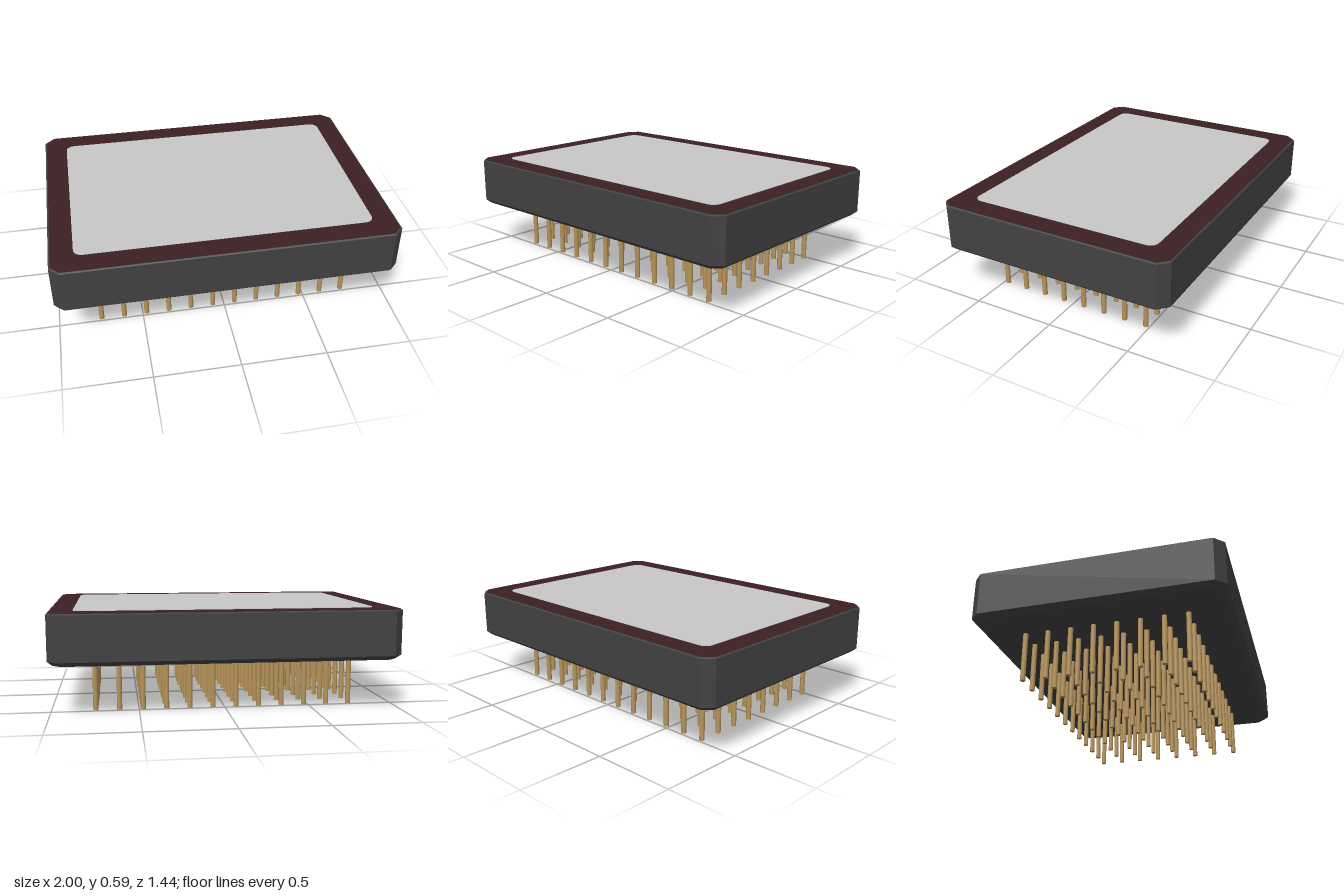
import * as THREE from 'three';

const material = (name, color, extra = {}) => {
  const m = new THREE.MeshStandardMaterial({ color, ...extra });
  m.name = name;
  return m;
};

// Corners of a rectangle with cut corners, shrunk by an inset
function cutCorners(inset) {
  const x = 1 - inset, z = 0.72 - inset, c = 0.055 - inset * 0.3;
  return [
    [x, -z + c], [x, z - c], [x - c, z], [-x + c, z],
    [-x, z - c], [-x, -z + c], [-x + c, -z], [x - c, -z],
  ];
}

// Solid skinned through [height, inset] sections, lowest first
function loft(sections) {
  const rings = sections.map(([y, inset]) => cutCorners(inset).map(([x, z]) => [x, y, z]));
  const pos = [];
  const tri = (a, b, c) => pos.push(...a, ...b, ...c);
  const n = rings[0].length;
  for (let r = 0; r < rings.length - 1; r++) {
    for (let i = 0; i < n; i++) {
      const j = (i + 1) % n, lo = rings[r], hi = rings[r + 1];
      tri(lo[i], hi[i], hi[j]);
      tri(lo[i], hi[j], lo[j]);
    }
  }
  const bottom = rings[0], top = rings[rings.length - 1];
  for (let i = 1; i < n - 1; i++) {
    tri(bottom[0], bottom[i], bottom[i + 1]);
    tri(top[0], top[i + 1], top[i]);
  }
  const g = new THREE.BufferGeometry();
  g.setAttribute('position', new THREE.Float32BufferAttribute(pos, 3));
  g.computeVertexNormals();
  return g;
}

// Thin horizontal plate with rounded corners, standing on y = 0
function roundedPlate(w, d, r, h) {
  const x = w / 2, y = d / 2;
  const s = new THREE.Shape();
  s.moveTo(-x + r, -y);
  s.lineTo(x - r, -y).absarc(x - r, -y + r, r, -Math.PI / 2, 0, false);
  s.lineTo(x, y - r).absarc(x - r, y - r, r, 0, Math.PI / 2, false);
  s.lineTo(-x + r, y).absarc(-x + r, y - r, r, Math.PI / 2, Math.PI, false);
  s.lineTo(-x, -y + r).absarc(-x + r, -y + r, r, Math.PI, Math.PI * 1.5, false);
  return new THREE.ExtrudeGeometry(s, { depth: h, bevelEnabled: false, curveSegments: 6 })
    .rotateX(-Math.PI / 2);
}

export function createModel() {
  const model = new THREE.Group();
  model.name = 'pinPackage';
  const casing = material('charcoal casing', 0x424242, { flatShading: true });
  const border = material('dark maroon', 0x3c2022, { flatShading: true });
  const plate = material('light grey', 0xc8c8c8);
  const brass = material('brass', 0xb8945a);

  const add = (name, geometry, mat, parent = model) => {
    const mesh = new THREE.Mesh(geometry, mat);
    mesh.name = name;
    parent.add(mesh);
    return mesh;
  };

  // Casing with bevelled lower and upper edges
  add('casing', loft([[0.293, 0.028], [0.318, 0], [0.575, 0], [0.581, 0.008]]), casing);

  // Coloured top surface and the pale plate lying on it
  add('topBorder', loft([[0.58, 0.01], [0.583, 0.01]]), border);
  add('topPlate', roundedPlate(1.724, 1.166, 0.05, 0.003), plate).position.y = 0.583;

  // Grid of pins underneath
  const pins = new THREE.Group();
  pins.name = 'pins';
  model.add(pins);
  const columns = 12, rows = 8, pitch = 0.136, length = 0.3;
  const pinGeometry = new THREE.CylinderGeometry(0.015, 0.015, length, 12);
  for (let i = 0; i < columns; i++) {
    for (let j = 0; j < rows; j++) {
      add('pin', pinGeometry, brass, pins).position.set(
        (i - (columns - 1) / 2) * pitch, length / 2, (j - (rows - 1) / 2) * pitch);
    }
  }
  return model;
}
